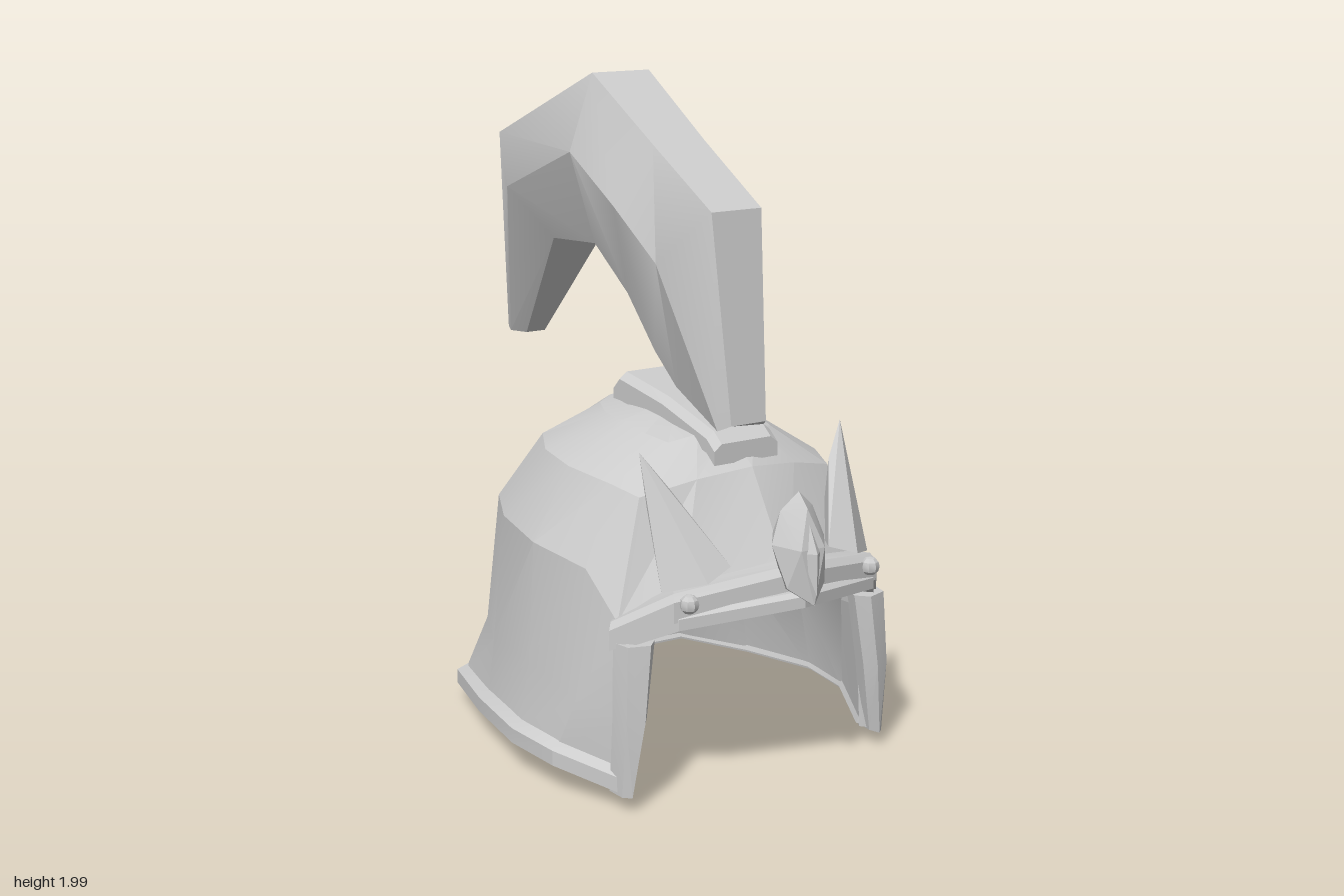
import * as THREE from 'three';
import { toCreasedNormals, mergeGeometries } from 'three/addons/utils/BufferGeometryUtils.js';
import { ConvexGeometry } from 'three/addons/geometries/ConvexGeometry.js';

const material = new THREE.MeshStandardMaterial({ color: 0xcccccc, side: THREE.DoubleSide });
const V = (x, y, z) => new THREE.Vector3(x, y, z);
const flip = p => V(-p.x, p.y, p.z);

// Skin a list of point rows; closed joins each row's ends, caps fills the first and last row
function loft(rows, closed = false, caps = false) {
  const pos = [];
  const tri = (...pts) => pts.forEach(p => pos.push(p.x, p.y, p.z));
  for (let i = 0; i < rows.length - 1; i++) {
    const a = rows[i], b = rows[i + 1], n = a.length;
    for (let j = 0; j < (closed ? n : n - 1); j++) {
      const k = (j + 1) % n;
      if (a[j].distanceTo(a[k]) > 1e-5) tri(a[j], b[k], a[k]);
      if (b[j].distanceTo(b[k]) > 1e-5) tri(a[j], b[j], b[k]);
    }
  }
  if (caps) {
    const first = rows[0], last = rows[rows.length - 1];
    for (let j = 1; j < first.length - 1; j++) {
      tri(first[0], first[j], first[j + 1]);
      tri(last[0], last[j + 1], last[j]);
    }
  }
  const g = new THREE.BufferGeometry();
  g.setAttribute('position', new THREE.Float32BufferAttribute(pos, 3));
  return g;
}

// Mirror a half row that runs from the left side to the back centre
const fullRow = half => [...half, ...half.slice(0, -1).reverse().map(flip)];
const points = list => list.map(p => V(...p));

// Move a point towards the helmet axis
function inward(p, d, dy = 0) {
  const r = V(p.x, 0, p.z - 0.1).normalize().multiplyScalar(-d);
  return V(p.x + r.x, p.y + dy, p.z + r.z);
}

export function createModel() {
  const model = new THREE.Group();
  function add(name, geometry, crease = 0.5) {
    const mesh = new THREE.Mesh(toCreasedNormals(geometry, crease), material);
    mesh.name = name;
    model.add(mesh);
    return mesh;
  }

  // Half rows from the cheek edge to the back centre
  const rim = points([[0.455, 0.06, 0.62], [0.56, 0.095, 0.4], [0.58, 0.1, 0.2], [0.525, 0.085, -0.1],
    [0.435, 0.06, -0.41], [0.15, 0.025, -0.515], [0, 0.01, -0.585]]);
  const flare = points([[0.43, 0.28, 0.62], [0.51, 0.3, 0.45], [0.52, 0.34, 0.2], [0.47, 0.31, -0.1],
    [0.36, 0.29, -0.34], [0.13, 0.28, -0.44], [0, 0.28, -0.475]]);
  const wall = points([[0.44, 0.55, 0.56], [0.47, 0.68, 0.44], [0.5, 0.7, 0.2], [0.44, 0.7, -0.08],
    [0.34, 0.7, -0.29], [0.12, 0.7, -0.39], [0, 0.7, -0.41]]);
  const crown = points([[0.33, 0.88, 0.5], [0.36, 0.9, 0.4], [0.38, 0.91, 0.2], [0.34, 0.91, 0],
    [0.25, 0.91, -0.17], [0.1, 0.91, -0.26], [0, 0.91, -0.285]]);
  const cap = points([[0.18, 1.0, 0.42], [0.2, 1.01, 0.33], [0.2, 1.02, 0.2], [0.18, 1.02, 0.08],
    [0.13, 1.02, -0.03], [0.05, 1.02, -0.1], [0, 1.02, -0.11]]);
  // Forehead columns, front centre first
  const wallFront = points([[0, 0.64, 0.77], [0.3, 0.61, 0.67]]);
  const crownFront = points([[0, 0.94, 0.58], [0.17, 0.92, 0.55]]);
  const capFront = points([[0, 1.02, 0.46], [0.1, 1.02, 0.45]]);
  const ring = (front, half) => [...front, ...fullRow(half), flip(front[1])];

  const shellRim = rim.map(p => inward(p, 0.03, 0.05));
  const upper = [ring(wallFront, wall), ring(crownFront, crown), ring(capFront, cap)];
  upper.push(upper[0].map(() => V(0, 1.07, 0.2)));
  add('outerShell', mergeGeometries([loft([shellRim, flare, wall].map(fullRow)), loft(upper, true)]), 0.32);

  // Lining: a neck guard that folds into a lower inner dome
  const neck = flare.map((p, i) => inward(V(p.x, i ? 0.41 : 0.45, p.z), 0.06));
  const fold = ring(wallFront.map(p => inward(p, 0.06)), neck);
  fold[2] = inward(wall[0], 0.06);
  fold[fold.length - 2] = flip(fold[2]);
  const vault = [[0.15, 0.62], [0.27, 0.77]].map(([d, y]) => upper[0].map(p => inward(V(p.x, y, p.z), d)));
  const innerDome = [fold, ...vault, fold.map(() => V(0, 0.87, 0.15))];
  add('lining', mergeGeometries([
    loft([rim.map(p => inward(p, 0.06)), neck].map(fullRow)), loft(innerDome, true)]), 0.4);

  // Underside of the brow and front edges of the cheeks, between shell and lining
  const browEdge = [wall[0], wallFront[1], wallFront[0], flip(wallFront[1]), flip(wall[0])];
  add('browUnderside', loft([browEdge, browEdge.map(p => inward(p, 0.06))]));
  const cheekOuter = [rim[0], flare[0], wall[0]];
  const cheekInner = [inward(rim[0], 0.06), neck[0], fold[2]];
  add('leftCheekEdge', loft([cheekOuter, cheekInner]));
  add('rightCheekEdge', loft([cheekOuter.map(flip), cheekInner.map(flip)]));

  // Thick rim round the bottom
  add('rim', loft(fullRow(rim).map(p =>
    [p, inward(p, 0, 0.045), inward(p, 0.045, 0.075), inward(p, 0.07, 0.01)]), true, true), 0.3);

  // Cheek guard trims, mirrored: path point and a width that tapers to the bottom
  const cheek = [[0.45, 0.055, 0.615, 0.4], [0.43, 0.28, 0.635, 0.9], [0.41, 0.5, 0.625, 1.15]];
  const profile = [[-0.05, -0.01], [-0.02, 0.025], [0.035, 0.005], [0.045, -0.055], [-0.04, -0.06]];
  const trim = cheek.map(([x, y, z, w]) => profile.map(([dx, dz]) => V(x + dx * w, y, z + dz)));
  add('leftCheekTrim', loft(trim, true, true), 0.3);
  add('rightCheekTrim', loft(trim.map(r => r.map(flip)), true, true), 0.3);

  // Brow band with a lip below it that juts out at the centre
  const bar = (path, h, front, back) => path.map(p => [inward(p, -front, -h), inward(p, -front, h * 0.5),
    inward(p, -front * 0.2, h), inward(p, back, h), inward(p, back, -h)]);
  const brow = fullRow(points([[0.455, 0.515, 0.55], [0.34, 0.615, 0.69], [0, 0.665, 0.78]]));
  const lip = fullRow(points([[0.445, 0.495, 0.56], [0.33, 0.575, 0.7], [0, 0.615, 0.82]]));
  add('browBand', loft(bar(brow, 0.04, 0.025, 0.05), true, true), 0.3);
  add('browLip', loft(bar(lip, 0.022, 0.02, 0.05), true, true), 0.3);

  // Horns and rivets on the brow
  for (const s of [1, -1]) {
    const side = s > 0 ? 'left' : 'right';
    add(side + 'Horn', new ConvexGeometry(points([[0.35, 1.02, 0.53], [0.17, 0.71, 0.72], [0.36, 0.65, 0.66],
      [0.26, 0.68, 0.74], [0.25, 0.7, 0.58], [0.28, 0.92, 0.57], [0.35, 0.87, 0.57]]
      .map(([x, y, z]) => [x * s, y, z]))), 0.3);
    const rivet = add(side + 'Rivet', new THREE.SphereGeometry(0.028, 8, 6));
    rivet.position.set(0.315 * s, 0.63, 0.73);
  }

  // Gem at the centre of the brow: faceted setting with a raised stone
  const setting = [[0, 0.92, 0.8], [0, 0.86, 0.75], [0, 0.62, 0.74], [0, 0.61, 0.88], [0, 0.88, 0.84]];
  for (const s of [1, -1]) {
    setting.push([s * 0.055, 0.87, 0.79], [s * 0.09, 0.78, 0.8], [s * 0.065, 0.66, 0.84],
      [s * 0.04, 0.77, 0.87], [s * 0.05, 0.8, 0.75]);
  }
  add('gemSetting', new ConvexGeometry(points(setting)), 0.2);
  add('gem', new ConvexGeometry(points([[0, 0.86, 0.84], [0, 0.76, 0.89], [0, 0.64, 0.89],
    [0.035, 0.76, 0.86], [-0.035, 0.76, 0.86]])), 0.2);

  // Crest mount: z, bottom y, top y
  const mount = [[0.55, 0.95, 1.01], [0.51, 0.98, 1.04], [0.28, 1.02, 1.095], [0.05, 1.04, 1.125], [0.015, 1.04, 1.09]];
  add('crestMount', loft(mount.map(([z, b, t]) =>
    [V(-0.11, b, z), V(-0.11, t - 0.02, z), V(-0.085, t, z), V(0.085, t, z), V(0.11, t - 0.02, z), V(0.11, b, z)]),
  true, true), 0.3);

  // Crest sections: outer, side and inner edge as [z, y, half width], then sideways shift
  const crest = [
    [[0.56, 1.06, 0.06], [0.52, 1.04, 0.08], [0.28, 1.12, 0.06], 0],
    [[0.49, 1.66, 0.085], [0.33, 1.5, 0.165], [0.21, 1.22, 0.09], 0],
    [[0.2, 1.82, 0.09], [0.12, 1.64, 0.175], [0.08, 1.37, 0.1], 0],
    [[-0.13, 2.0, 0.1], [-0.13, 1.77, 0.18], [-0.12, 1.49, 0.1], 0.01],
    [[-0.7, 1.77, 0.1], [-0.53, 1.62, 0.17], [-0.38, 1.47, 0.09], 0.01],
    [[-0.89, 1.09, 0.03], [-0.84, 1.085, 0.05], [-0.76, 1.09, 0.035], 0.07],
  ];
  add('crest', loft(crest.map(([o, m, i, c]) =>
    [[o, -1], [o, 1], [m, 1], [i, 1], [i, -1], [m, -1]].map(([e, s]) => V(c + s * e[2], e[1], e[0]))),
  true, true), 0.6);

  return model;
}
